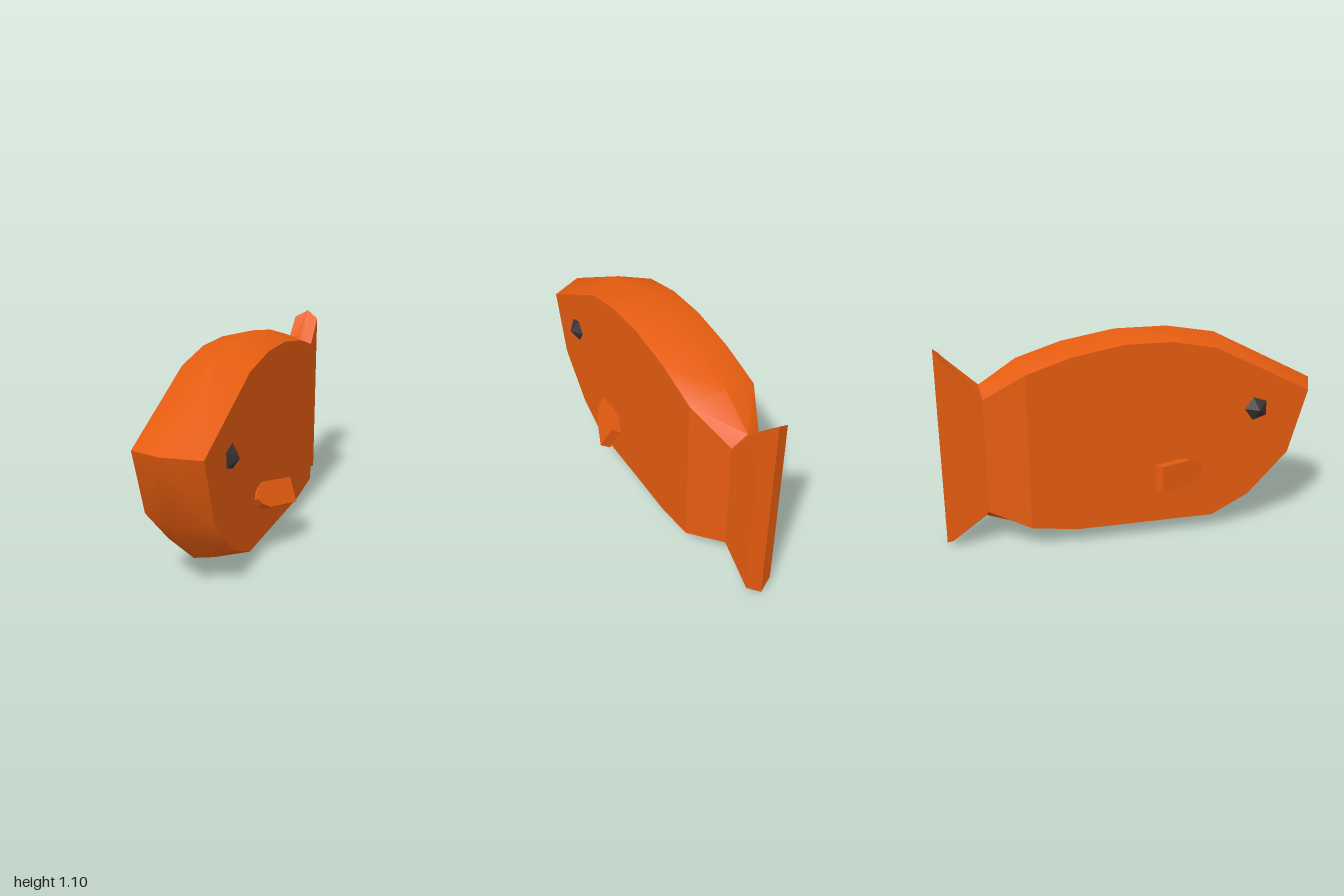
import * as THREE from 'three';
import { toCreasedNormals } from 'three/addons/utils/BufferGeometryUtils.js';

// Outline from the nose over the back to the tail and along the belly:
// centre ridge z, y, then side edge z, y, x
const OUTLINE = [
  [1, 0.77, 0.92, 0.75, 0.175],
  [0.44, 1.055, 0.40, 1.01, 0.175],
  [0.18, 1.1, 0.16, 1.055, 0.175],
  [-0.09, 1.1, -0.08, 1.055, 0.175],
  [-0.34, 1.055, -0.34, 1.01, 0.175],
  [-0.6, 0.98, -0.575, 0.935, 0.175],
  [-0.79, 0.855, -0.78, 0.795, 0.075],
  [-1, 1.05, -0.97, 1.01, 0.07],
  [-1, 0.005, -0.97, 0.045, 0.07],
  [-0.79, 0.14, -0.78, 0.19, 0.075],
  [-0.6, 0.07, -0.575, 0.12, 0.175],
  [-0.34, 0.04, -0.34, 0.085, 0.175],
  [0.44, 0.04, 0.40, 0.085, 0.175],
  [0.68, 0.15, 0.60, 0.185, 0.175],
  [0.91, 0.40, 0.82, 0.41, 0.175],
];
// Flat side panels as loops of outline indices
const PANELS = [
  [0, 1, 2, 3, 4, 5, 10, 11, 12, 13, 14],
  [5, 6, 9, 10],
  [6, 7, 8, 9],
];

const ridge = (i) => [0, OUTLINE[i][1], OUTLINE[i][0]];
const edge = (i, s) => [s * OUTLINE[i][4], OUTLINE[i][3], OUTLINE[i][2]];

function fromTriangles(tris) {
  const g = new THREE.BufferGeometry();
  g.setAttribute('position', new THREE.Float32BufferAttribute(tris.flat(2), 3));
  g.computeVertexNormals();
  return g;
}

// Adds a triangle, reversed on the mirrored side
function add(list, s, a, b, c) {
  list.push(s > 0 ? [a, b, c] : [a, c, b]);
}

// Thick fin with a chamfered root, placed by its tip centre and axes
function finGeometry(tip, along, up, s) {
  const shape = new THREE.Shape([
    [0, -0.066], [0.2, -0.066], [0.25, -0.045], [0.28, -0.015],
    [0.28, 0.015], [0.25, 0.045], [0.2, 0.066], [0, 0.066],
  ].map(([x, y]) => new THREE.Vector2(x, y)));
  const g = new THREE.ExtrudeGeometry(shape, { depth: 0.058, bevelEnabled: false });
  if (s < 0) g.translate(0, 0, -0.058);
  const d = new THREE.Vector3(...along).normalize();
  const n = d.clone().cross(new THREE.Vector3(...up)).normalize();
  const u = n.clone().cross(d);
  g.applyMatrix4(new THREE.Matrix4().makeBasis(d, u, n).setPosition(...tip));
  return g;
}

export function createModel() {
  const group = new THREE.Group();
  const orange = new THREE.MeshStandardMaterial({ color: 0xe55c10 });
  orange.name = 'orange';
  const charcoal = new THREE.MeshStandardMaterial({ color: 0x383235 });
  charcoal.name = 'charcoal';
  const mesh = (name, geometry, material) => {
    const m = new THREE.Mesh(geometry, material);
    m.name = name;
    group.add(m);
    return m;
  };

  // Ridged rim around the body and tail, and the flat flanks
  const rim = [];
  const flanks = [];
  for (const s of [1, -1]) {
    OUTLINE.forEach((_, i) => {
      const j = (i + 1) % OUTLINE.length;
      add(rim, s, ridge(i), edge(i, s), ridge(j));
      add(rim, s, edge(i, s), edge(j, s), ridge(j));
    });
    for (const p of PANELS) {
      for (let k = 1; k < p.length - 1; k++) {
        add(flanks, s, edge(p[0], s), edge(p[k + 1], s), edge(p[k], s));
      }
    }
  }
  mesh('bodyRim', toCreasedNormals(fromTriangles(rim), 0.6), orange);
  mesh('bodyFlanks', fromTriangles(flanks), orange);

  // Pointed five-sided eyes
  for (const s of [1, -1]) {
    const g = new THREE.ConeGeometry(0.073, 0.05, 5).toNonIndexed();
    g.rotateY(s * Math.PI);
    g.rotateZ(-s * Math.PI / 2);
    // turn so that one corner points to the tail
    g.rotateX(-Math.PI / 2 * (cornerAngle(g) / (Math.PI / 2)));
    g.computeVertexNormals();
    mesh(s > 0 ? 'leftEye' : 'rightEye', g, charcoal).position.set(s * 0.195, 0.67, 0.632);
  }

  // Side fins, each twisted its own way
  mesh('leftFin', finGeometry([0.29, 0.318, 0.08], [-0.358, 0.164, 0.92], [-0.38, 0.875, -0.3], 1), orange);
  mesh('rightFin', finGeometry([-0.309, 0.375, 0.085], [0.45, -0.06, 0.89], [0.13, 0.99, 0], -1), orange);
  return group;
}

// Angle about x from the tail direction to the first outer corner of a cone
function cornerAngle(g) {
  const p = g.attributes.position;
  for (let i = 0; i < p.count; i++) {
    const y = p.getY(i), z = p.getZ(i);
    if (Math.hypot(y, z) > 0.05) return Math.atan2(y, -z);
  }
  return 0;
}
